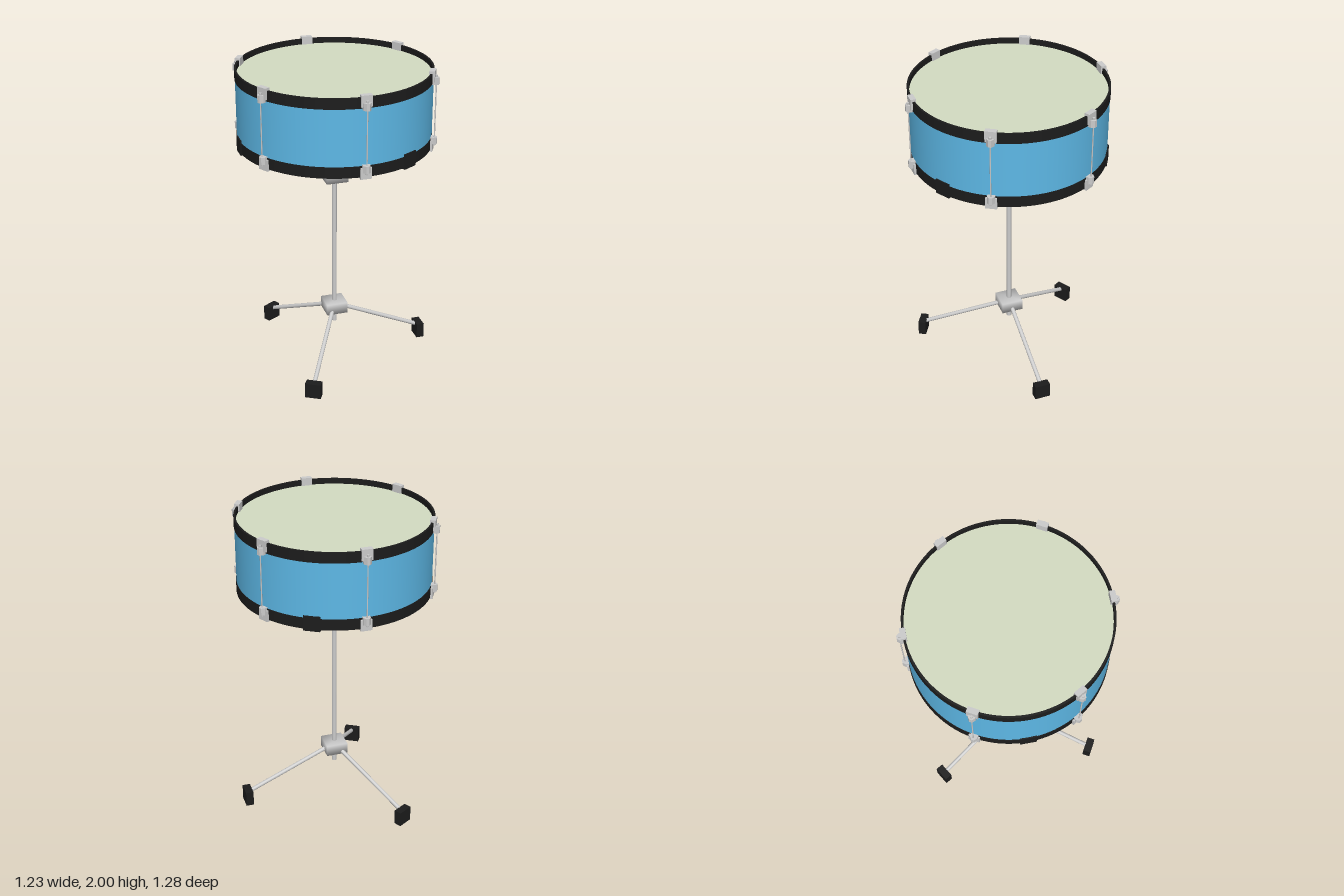
import * as THREE from 'three';
import { mergeVertices } from 'three/addons/utils/BufferGeometryUtils.js';

const CX = -0.01; // drum axis
const mat = (color, side = THREE.FrontSide) => new THREE.MeshStandardMaterial({ color, side });
const metal = mat(0xcccccc);
const black = mat(0x1c1c1c);
const blue = mat(0x5db8e6, THREE.DoubleSide);
const skin = mat(0xd4dcc2);

function add(parent, name, geometry, material, x = 0, y = 0, z = 0) {
  const mesh = new THREE.Mesh(geometry, material);
  mesh.name = name;
  mesh.position.set(x, y, z);
  parent.add(mesh);
  return mesh;
}

// Sub-group whose +x axis points outward at the given angle
function spoke(parent, name, degrees) {
  const g = new THREE.Group();
  g.name = name;
  g.rotation.y = THREE.MathUtils.degToRad(degrees);
  parent.add(g);
  return g;
}

// Straight round bar in the x-y plane
function bar(parent, name, x0, y0, x1, y1, r) {
  const length = Math.hypot(x1 - x0, y1 - y0);
  const m = add(parent, name, new THREE.CylinderGeometry(r, r, length, 16), metal, (x0 + x1) / 2, (y0 + y1) / 2);
  m.rotation.z = Math.atan2(y1 - y0, x1 - x0) - Math.PI / 2;
}

// Square ring revolved with sharp edges
function hoopGeometry(inner, outer, y0, y1) {
  const s = new THREE.Shape().absarc(0, 0, outer, 0, Math.PI * 2);
  s.holes.push(new THREE.Path().absarc(0, 0, inner, 0, Math.PI * 2, true));
  const g = new THREE.ExtrudeGeometry(s, { depth: y1 - y0, bevelEnabled: false, curveSegments: 64 });
  return g.rotateX(-Math.PI / 2).translate(0, y0, 0);
}

// Box with shared, softened corner normals
function softBox(w, h, d) {
  const g = new THREE.BoxGeometry(w, h, d);
  g.deleteAttribute('uv');
  g.deleteAttribute('normal');
  const merged = mergeVertices(g);
  merged.computeVertexNormals();
  return merged;
}

// Tapered bracket holding the end of a tension rod
function bracketGeometry() {
  const s = new THREE.Shape([[0.595, -0.023], [0.622, -0.023], [0.64, -0.009], [0.64, 0.009], [0.622, 0.023], [0.595, 0.023]]
    .map(([x, y]) => new THREE.Vector2(x, y)));
  return new THREE.ExtrudeGeometry(s, { depth: 0.045, bevelEnabled: false })
    .rotateX(-Math.PI / 2).translate(0, -0.0225, 0);
}

export function createModel() {
  const model = new THREE.Group();
  model.name = 'snareDrumOnStand';
  const drum = new THREE.Group();
  drum.name = 'drum';
  const stand = new THREE.Group();
  stand.name = 'stand';
  drum.position.x = stand.position.x = CX;
  model.add(drum, stand);

  // Shell, hoops and heads
  const mid = 1.745;
  add(drum, 'shell', new THREE.CylinderGeometry(0.602, 0.602, 0.4, 96, 1, true), blue, 0, mid);
  add(drum, 'topHoop', hoopGeometry(0.592, 0.605, 1.92, 1.985), black);
  add(drum, 'bottomHoop', hoopGeometry(0.592, 0.605, 1.5, 1.57), black);
  add(drum, 'topHead', new THREE.CylinderGeometry(0.596, 0.596, 0.01, 96), skin, 0, 1.945);
  add(drum, 'bottomHead', new THREE.CylinderGeometry(0.596, 0.596, 0.01, 96), skin, 0, 1.54);

  // Six tension rods, each with a claw at both ends
  const bracket = bracketGeometry();
  for (let i = 0; i < 6; i++) {
    const lug = spoke(drum, 'tensionLug', 30 + i * 60);
    for (const s of [1, -1]) {
      add(lug, 'claw', new THREE.BoxGeometry(0.034, 0.07, 0.068), metal, 0.6, mid + s * 0.22);
      add(lug, 'clawBracket', bracket, metal, 0, mid + s * 0.19);
      add(lug, 'bolt', new THREE.CylinderGeometry(0.008, 0.008, 0.02, 6), metal, 0.624, mid + s * 0.215);
    }
    add(lug, 'tensionRod', new THREE.CylinderGeometry(0.004, 0.004, 0.37, 8), metal, 0.624, mid);
  }

  // Centre pole and two hubs
  bar(stand, 'pole', 0, 0.215, 0, 1.29, 0.0155);
  add(stand, 'upperHub', softBox(0.14, 0.073, 0.14), metal, 0, 1.273);
  add(stand, 'lowerHub', softBox(0.14, 0.073, 0.14), metal, 0, 0.333);

  // Three cradle arms above, three legs below
  for (let i = 0; i < 3; i++) {
    const arm = spoke(stand, 'cradleArm', 60 + i * 120);
    bar(arm, 'armTube', 0.02, 1.272, 0.585, 1.515, 0.0135);
    add(arm, 'gripPad', new THREE.BoxGeometry(0.05, 0.095, 0.1), black, 0.584, 1.5375);

    const leg = spoke(stand, 'leg', i * 120);
    bar(leg, 'legTube', 0.02, 0.335, 0.59, 0.08, 0.0135);
    add(leg, 'rubberFoot', new THREE.BoxGeometry(0.05, 0.1, 0.1), black, 0.6, 0.05);
  }
  return model;
}
